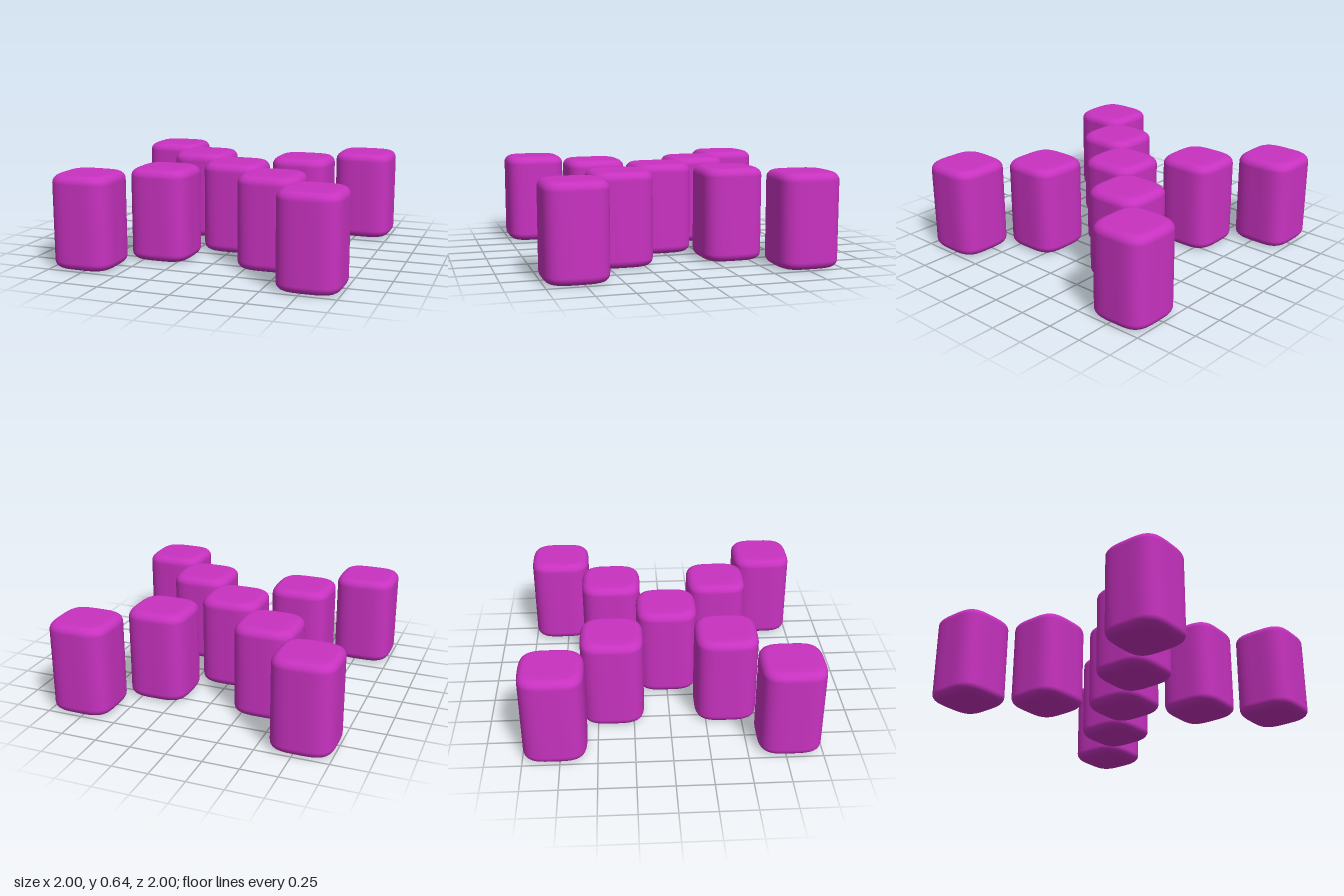
import * as THREE from 'three';
import { mergeVertices } from 'three/addons/utils/BufferGeometryUtils.js';

const HALF = 0.215;     // half width of a block
const HEIGHT = 0.645;
const BEVEL = 0.055;    // rounding of top and bottom rims
const STEP = 0.3925;    // spacing along each arm
const POWER = 3.7;      // squareness of the footprint

// Pillow-sided block: a lathed profile whose round section is squared off
function blockGeometry() {
  const profile = [new THREE.Vector2(0, 0), new THREE.Vector2(HALF * 0.45, 0)];
  const arc = 7;
  for (const top of [false, true]) {
    for (let i = 0; i <= arc; i++) {
      const a = (i / arc) * Math.PI / 2;
      const inset = BEVEL * (1 - (top ? Math.cos(a) : Math.sin(a)));
      const drop = BEVEL * (1 - (top ? Math.sin(a) : Math.cos(a)));
      profile.push(new THREE.Vector2(HALF - inset, top ? HEIGHT - drop : drop));
    }
  }
  profile.push(new THREE.Vector2(HALF * 0.45, HEIGHT), new THREE.Vector2(0, HEIGHT));

  let geo = new THREE.LatheGeometry(profile, 64);
  const pos = geo.attributes.position;
  for (let i = 0; i < pos.count; i++) {
    const x = pos.getX(i), z = pos.getZ(i);
    const r = Math.hypot(x, z);
    if (r < 1e-6) continue;
    const k = Math.pow(Math.abs(x / r) ** POWER + Math.abs(z / r) ** POWER, -1 / POWER);
    pos.setX(i, x * k);
    pos.setZ(i, z * k);
  }
  geo.deleteAttribute('uv');
  geo.deleteAttribute('normal');
  geo = mergeVertices(geo, 1e-5);
  geo.computeVertexNormals();
  return geo;
}

export function createModel() {
  const group = new THREE.Group();
  group.name = 'crossOfBlocks';
  const geo = blockGeometry();
  const mat = new THREE.MeshStandardMaterial({ color: 0xc832c0 });

  const addBlock = (name, x, z) => {
    const mesh = new THREE.Mesh(geo, mat);
    mesh.name = name;
    mesh.position.set(x, 0, z);
    group.add(mesh);
  };

  // Centre block, then two blocks along each diagonal arm
  addBlock('centreBlock', 0, 0);
  for (const sx of [-1, 1]) {
    for (const sz of [-1, 1]) {
      const side = (sz > 0 ? 'front' : 'back') + (sx > 0 ? 'Left' : 'Right');
      addBlock(side + 'InnerBlock', sx * STEP, sz * STEP);
      addBlock(side + 'OuterBlock', sx * STEP * 2, sz * STEP * 2);
    }
  }
  return group;
}
